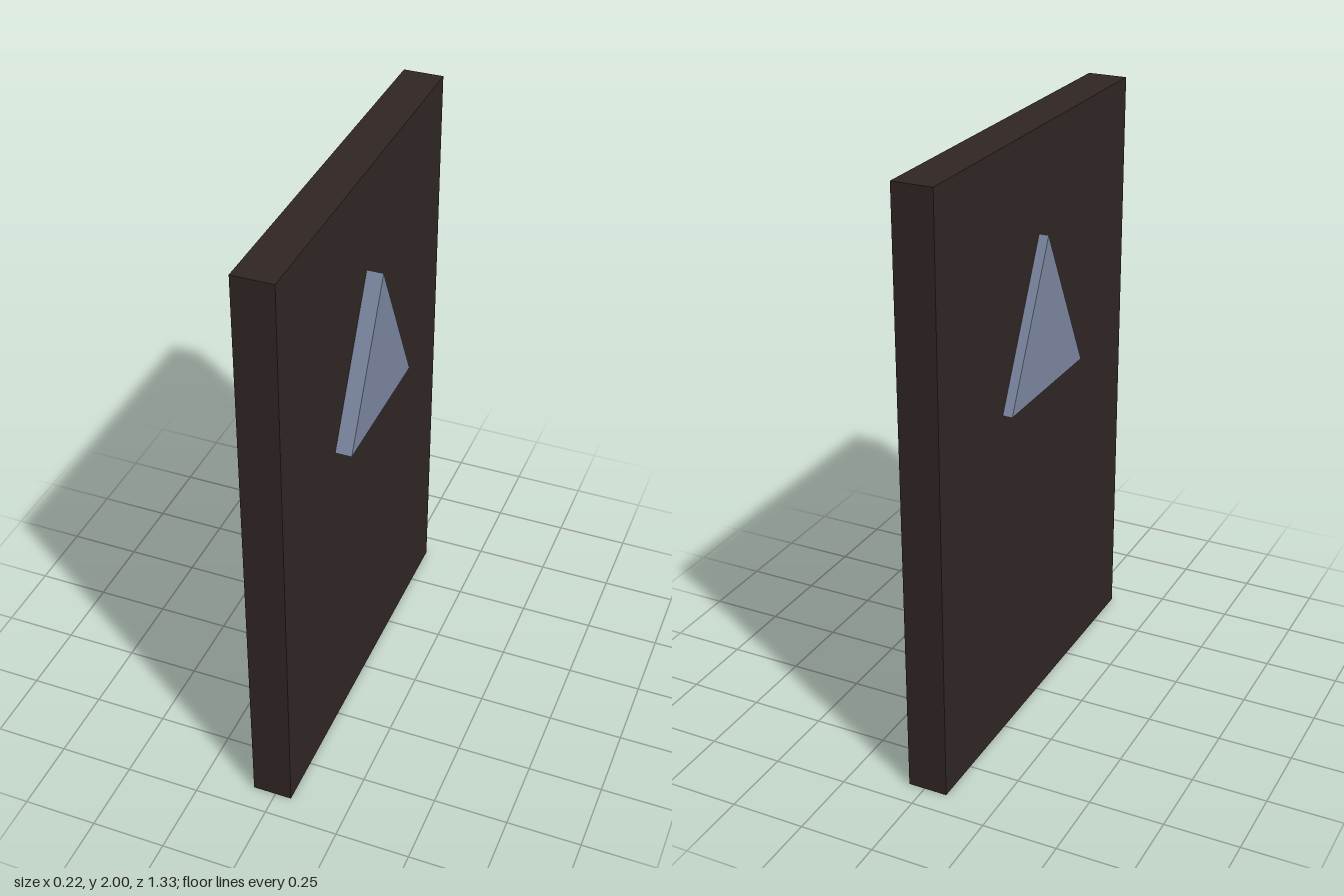
import * as THREE from 'three';

export function createModel() {
  const group = new THREE.Group();

  const darkWood = new THREE.MeshStandardMaterial({ color: 0x302624 });
  darkWood.name = 'dark wood';
  const blueGrey = new THREE.MeshStandardMaterial({ color: 0x7a859f });
  blueGrey.name = 'blue grey';

  // Upright slab, slightly off centre in x
  const panel = new THREE.Mesh(new THREE.BoxGeometry(0.133, 2, 1.333), darkWood);
  panel.name = 'panel';
  panel.position.set(-0.011, 1, 0);
  group.add(panel);

  // Triangular prism passing through the slab and standing proud on both faces
  const outline = new THREE.Shape([
    new THREE.Vector2(-0.26, 1.153),
    new THREE.Vector2(0.255, 1.153),
    new THREE.Vector2(0, 1.663),
  ]);
  const depth = 0.22;
  const prism = new THREE.ExtrudeGeometry(outline, { depth, bevelEnabled: false });
  prism.translate(0, 0, -depth / 2);
  prism.rotateY(Math.PI / 2);
  const triangle = new THREE.Mesh(prism, blueGrey);
  triangle.name = 'triangleInsert';
  group.add(triangle);

  return group;
}
